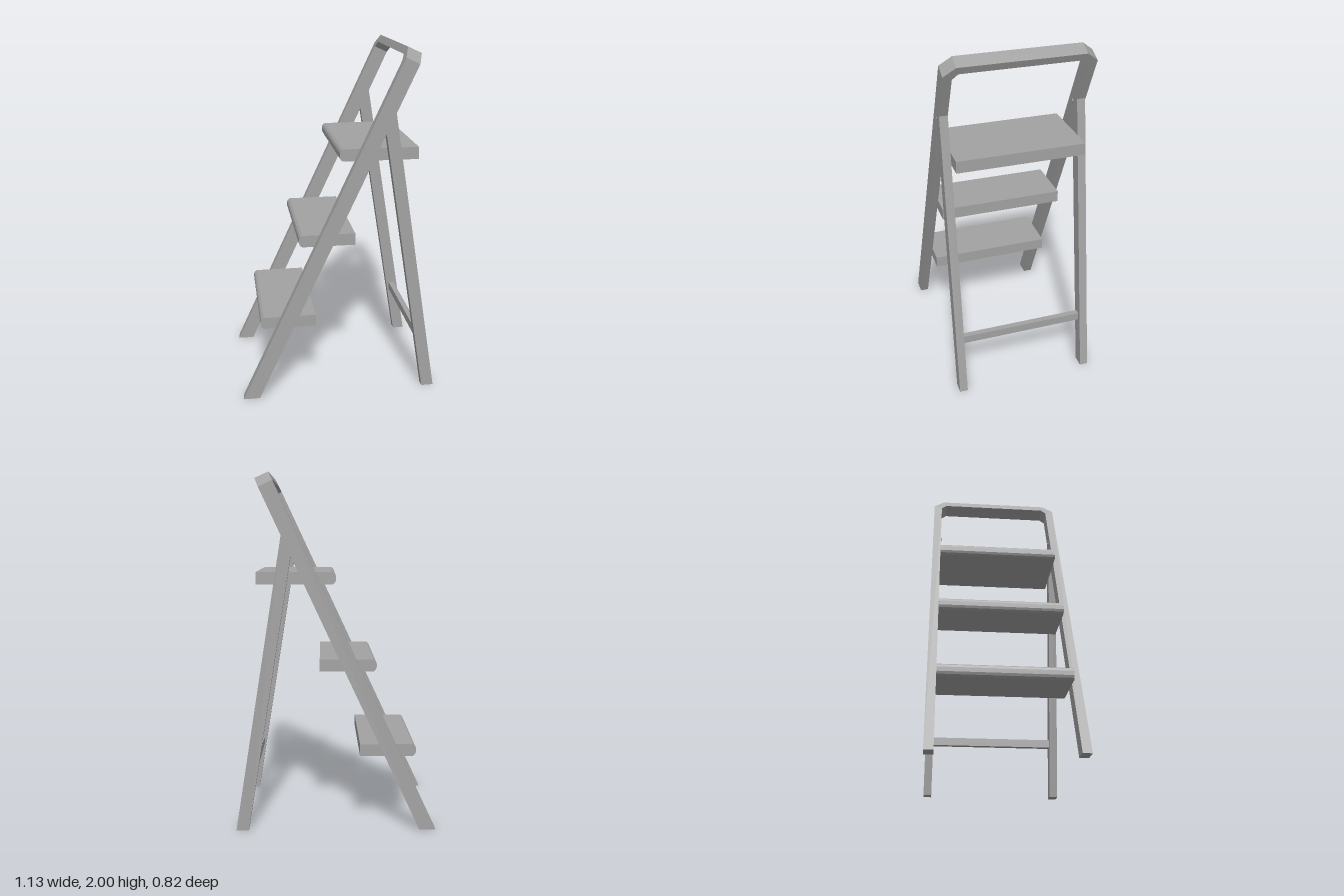
import * as THREE from 'three';

const DEPTH = 0.41;   // outer half width
const INNER = 0.36;   // half width between the rails
const LEAN = 0.4653;  // rail run per unit of height

const toShape = (pts) => new THREE.Shape(pts.map(([x, y]) => new THREE.Vector2(x, y)));

// Extrudes an xy profile between two z positions
function prism(pts, z0, z1) {
  const g = new THREE.ExtrudeGeometry(toShape(pts), { depth: z1 - z0, bevelEnabled: false });
  return g.translate(0, 0, z0);
}

// One bent tube: two leaning rails joined by a grab handle with cut corners
function frameGeometry() {
  const half = [[DEPTH, 0], [DEPTH, 1.95], [0.345, 2], [0.33, 1.96], [INNER, 1.93], [INNER, 0]];
  const mirror = ([z, y]) => [-z, y];
  const outer = half.slice(0, 3), inner = half.slice(3);
  const pts = [
    ...outer, ...outer.map(mirror).reverse(),
    ...inner.map(mirror).reverse(), ...inner,
  ];
  const g = new THREE.ExtrudeGeometry(toShape(pts), { depth: 1, bevelEnabled: false });
  const p = g.attributes.position;
  for (let i = 0; i < p.count; i++) {
    const z = -p.getX(i), t = p.getZ(i);
    // the handle end is square to the rail, the feet are level
    const y = p.getY(i) > 1 ? p.getY(i) - 0.035 * t : p.getY(i);
    p.setXYZ(i, -0.567 + 0.0925 * t + LEAN * y, y, z);
  }
  g.computeVertexNormals();
  return g;
}

// Flat tread with a rounded nose
function stepGeometry(x0, x1, y) {
  const nose = [[0, 0.046], [0, 0.022], [0.006, 0.009], [0.018, 0]];
  const pts = [[x0 + 0.018, y + 0.068], [x0 + 0.006, y + 0.059],
    ...nose.map(([a, b]) => [x0 + a, y + b]),
    [x1, y], [x1, y + 0.068]];
  return prism(pts, -INNER, INNER);
}

export function createModel() {
  const model = new THREE.Group();
  model.name = 'stepLadder';
  const grey = new THREE.MeshStandardMaterial({ color: 0xa2a2a2 });
  grey.name = 'grey';

  const add = (name, geometry) => {
    const mesh = new THREE.Mesh(geometry, grey);
    mesh.name = name;
    model.add(mesh);
    return mesh;
  };

  add('frontFrame', frameGeometry());

  // Treads, lowest first
  [[-0.455, -0.137, 0.42], [-0.228, 0.09, 0.907], [0, 0.44, 1.392]]
    .forEach(([x0, x1, y], i) => add('step' + (i + 1), stepGeometry(x0, x1, y)));

  // Rear legs, cut to sit against the rails, each with a pivot bolt
  const leg = [[0.495, 0], [0.565, 0], [0.298, 1.66], [0.246, 1.55]];
  for (const side of [1, -1]) {
    const label = side > 0 ? 'Left' : 'Right';
    const [z0, z1] = side > 0 ? [INNER, DEPTH - 0.003] : [-DEPTH + 0.003, -INNER];
    add('rearLeg' + label, prism(leg, z0, z1));
    const bolt = new THREE.CylinderGeometry(0.011, 0.011, 0.057, 12).rotateX(Math.PI / 2);
    add('pivotBolt' + label, bolt).position.set(0.24, 1.63, side * 0.3825);
  }

  // Brace between the rear legs
  add('rearBrace', new THREE.BoxGeometry(0.033, 0.047, 2 * INNER)).position.set(0.474, 0.321, 0);

  return model;
}
